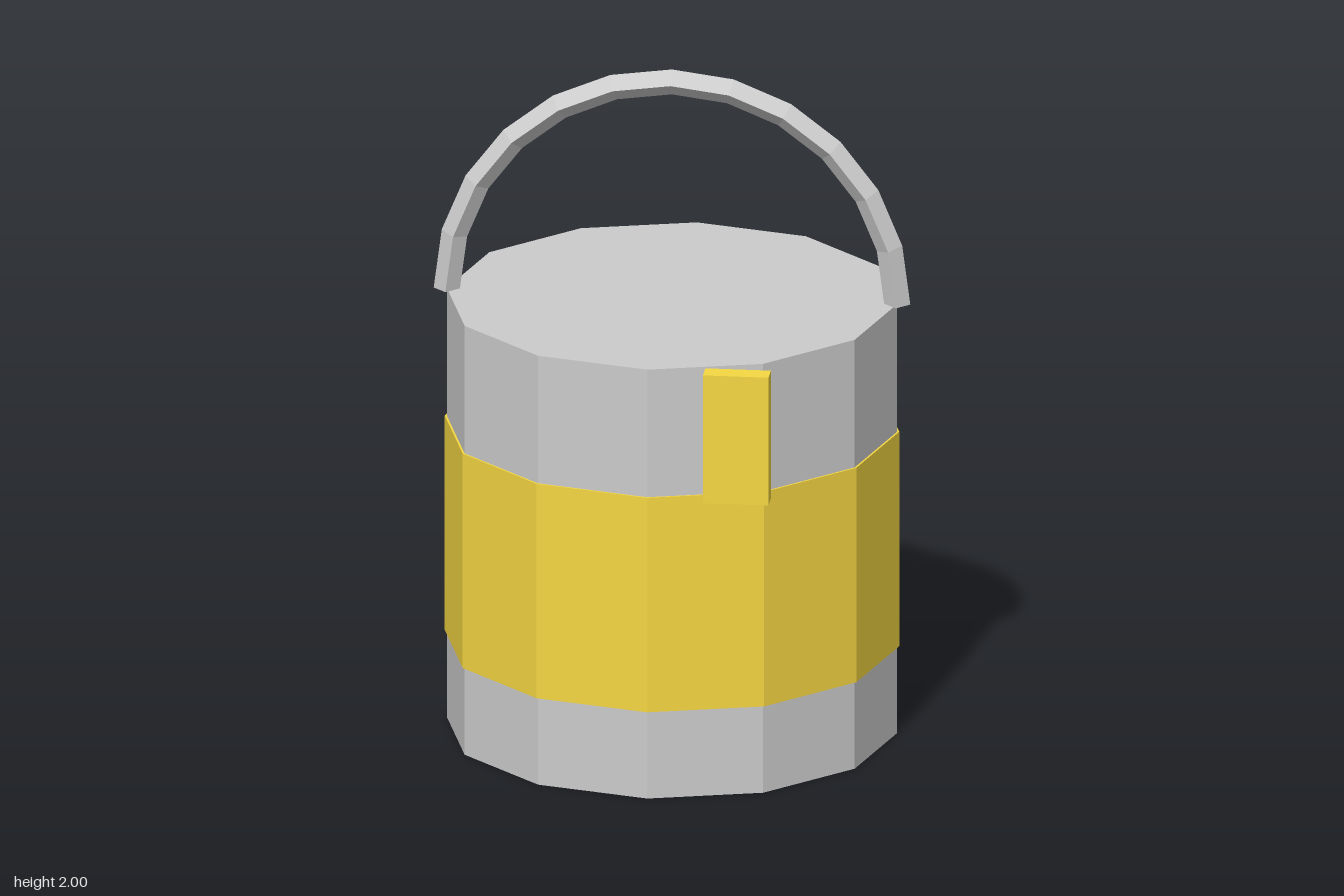
import * as THREE from 'three';

const SIDES = 12;
const CENTER_Z = -0.015; // the latch at the front shifts the body back
const TOP = 1.308;

export function createModel() {
  const group = new THREE.Group();
  const grey = new THREE.MeshStandardMaterial({ color: 0xcccccc, flatShading: true });
  const yellow = new THREE.MeshStandardMaterial({ color: 0xf5d742, flatShading: true });
  const openGrey = grey.clone();
  openGrey.side = THREE.DoubleSide;

  const add = (name, geometry, material, x, y, z) => {
    const mesh = new THREE.Mesh(geometry, material);
    mesh.name = name;
    mesh.position.set(x, y, z);
    group.add(mesh);
  };

  // Twelve-sided canister with a corner facing the front
  add('body', new THREE.CylinderGeometry(0.653, 0.653, TOP, SIDES), grey, 0, TOP / 2, CENTER_Z);

  // Wide coloured band, slightly proud of the body
  add('band', new THREE.CylinderGeometry(0.659, 0.659, 0.654, SIDES), yellow, 0, 0.592, CENTER_Z);

  // Latch block on the upper front, off to one side
  add('latch', new THREE.BoxGeometry(0.19, 0.39, 0.063), yellow, 0.26, 1.113, 0.639);

  // Half-ring carrying handle with a diamond cross-section
  add('handle', new THREE.TorusGeometry(0.653, 0.038, 4, 12, Math.PI), openGrey, 0, TOP, CENTER_Z);

  return group;
}
